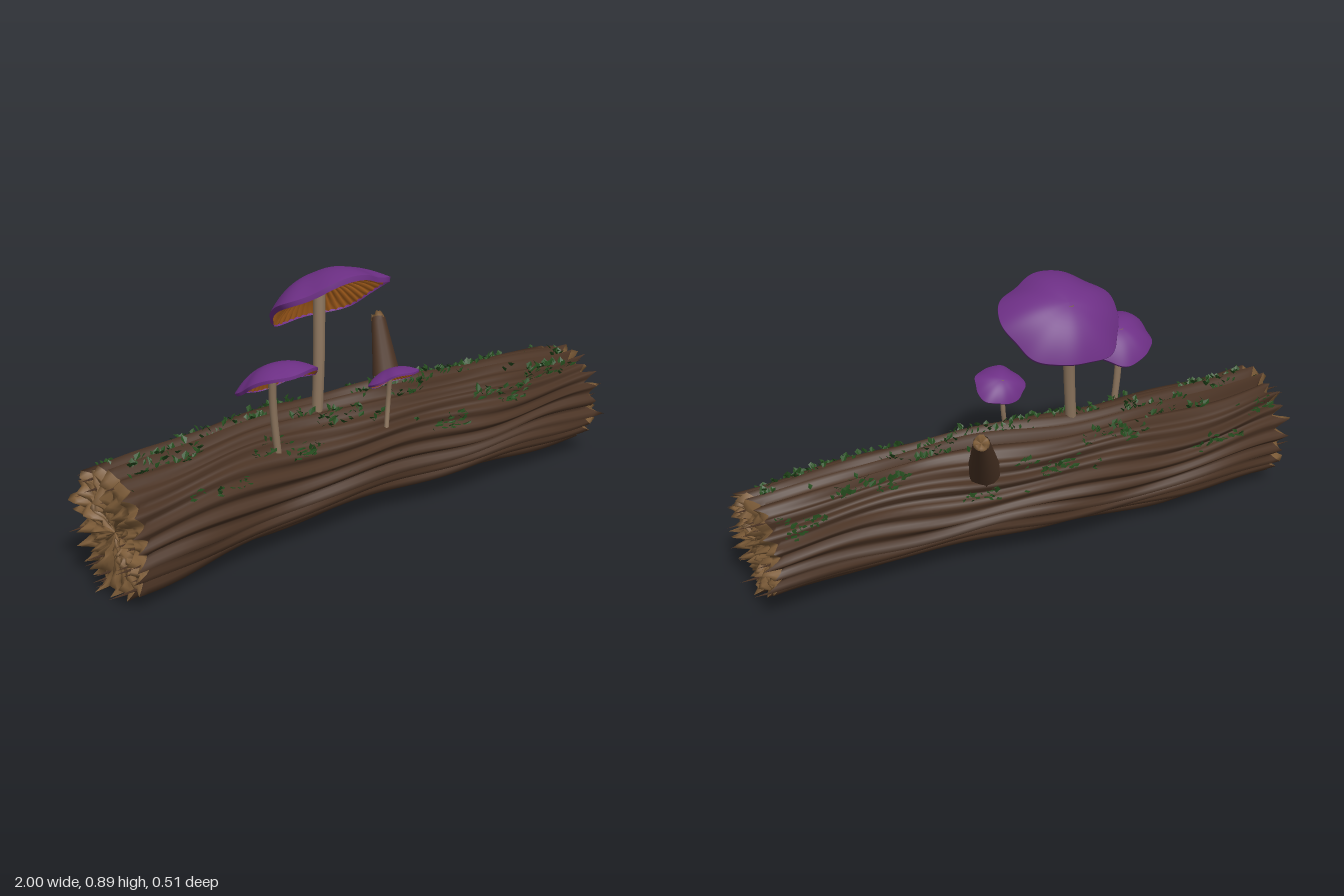
import * as THREE from 'three';
import { mergeGeometries } from 'three/addons/utils/BufferGeometryUtils.js';

const V = (x, y, z) => new THREE.Vector3(x, y, z);
const TAU = Math.PI * 2;
const RIDGES = 22, SEG = RIDGES * 6;
const material = (color, side = THREE.FrontSide) =>
  new THREE.MeshStandardMaterial({ color, roughness: 0.9, side });
const bark = material(0x4a3324, THREE.DoubleSide), wood = material(0x7d5c38, THREE.DoubleSide);
const capSkin = material(0x6d2f85, THREE.DoubleSide), gill = material(0xb0641e, THREE.DoubleSide);
const stalk = material(0x8a735c), mossGreen = material(0x254d1e, THREE.DoubleSide);

// Repeatable noise: a hash of two integers and a seeded sequence
const hash = (a, b = 0) => {
  const s = Math.sin(a * 127.1 + b * 311.7 + 4.3) * 43758.5453;
  return s - Math.floor(s);
};
let seed = 7;
const rand = () => (seed = (seed * 16807) % 2147483647) / 2147483647;

function named(name, geometry, mat) {
  const mesh = new THREE.Mesh(geometry, mat);
  mesh.name = name;
  return mesh;
}

// Surface of rows that each close into a ring
function ringGrid(rows, cols, point, flip = false) {
  const pos = [], index = [];
  for (let i = 0; i <= rows; i++)
    for (let j = 0; j < cols; j++) pos.push(...point(i, j).toArray());
  for (let i = 0; i < rows; i++) {
    for (let j = 0; j < cols; j++) {
      const k = (j + 1) % cols;
      const a = i * cols + j, b = i * cols + k, c = a + cols, d = b + cols;
      if (flip) index.push(a, c, b, b, c, d);
      else index.push(a, b, c, b, d, c);
    }
  }
  const g = new THREE.BufferGeometry();
  g.setAttribute('position', new THREE.Float32BufferAttribute(pos, 3));
  g.setIndex(index);
  g.computeVertexNormals();
  return g;
}

// Bent centre line of the log
const spine = new THREE.CatmullRomCurve3([
  V(-0.93, 0.2, 0.025), V(-0.465, 0.222, -0.01), V(0, 0.24, 0.01), V(0.465, 0.235, 0.065), V(0.93, 0.215, 0.075),
], false, 'catmullrom', 0.5);

// Point on the ridged bark: u runs from -1 to 1, angle from the top towards +z
function barkPoint(u, angle, lift = 0) {
  const c = spine.getPoint((u + 1) / 2);
  const p = angle / TAU * RIDGES + RIDGES, id = Math.floor(p) % RIDGES;
  const tri = 1 - Math.abs(2 * (p - Math.floor(p)) - 1);
  const wander = 0.09 * Math.sin(2.6 * u + angle) + 0.05 * Math.sin(8 * u + 3 * angle);
  const depth = 0.034 * (0.6 + 0.6 * hash(id)) * (0.85 + 0.3 * Math.sin(6 * u + id * 2.4));
  const r = 0.176 - 0.012 * u + (tri - 0.55) * depth + 0.004 * Math.sin(11 * u + 2 * angle) + lift;
  const a = angle + wander;
  const end = Math.abs(u) > 0.999 ? Math.sign(u) * (tri * tri * 0.05 * hash(id, u + 3) - 0.02 * (1 - tri)) : 0;
  return V(c.x + end, c.y + r * Math.cos(a), c.z + r * Math.sin(a));
}

function buildLog() {
  const log = new THREE.Group();
  log.name = 'log';
  const rows = 64;
  log.add(named('bark', ringGrid(rows, SEG, (i, j) => barkPoint(i / rows * 2 - 1, j / SEG * TAU)), bark));
  // Splintered broken ends
  for (const side of [-1, 1]) {
    const centre = spine.getPoint((side + 1) / 2), rings = 10;
    const end = ringGrid(rings, SEG, (k, j) => {
      const p = barkPoint(side, j / SEG * TAU);
      if (k === 0) return p;
      const f = 1 - k / rings, ridge = Math.floor(j / 6), tri = 1 - Math.abs((j % 6) / 3 - 1);
      const q = p.lerp(centre, 1 - f);
      const spike = 0.055 * tri * hash(k * 5 + side, ridge) ** 2 + 0.012 * hash(k, j);
      q.x = centre.x + side * (spike * Math.min(1, f * 2) - 0.008);
      return q;
    }, side < 0);
    log.add(named(side > 0 ? 'leftBrokenEnd' : 'rightBrokenEnd', end, wood));
    // Long thin splinters around the rim
    const splinters = [];
    for (let i = 0; i < 26; i++) {
      const p = barkPoint(side * 0.98, (Math.floor(rand() * RIDGES) + 0.5) / RIDGES * TAU)
        .lerp(centre, 0.06 + 0.5 * rand() ** 2);
      const len = 0.04 + 0.045 * rand();
      const g = new THREE.ConeGeometry(0.007, len, 4);
      g.rotateZ(-side * Math.PI / 2);
      g.translate(side * (0.915 + len / 2), p.y, p.z);
      splinters.push(g);
    }
    log.add(named('splinters', mergeGeometries(splinters), bark));
  }
  return log;
}

// Tube whose radius runs from r0 to r1, with optional lengthwise ridges
function taperedTube(points, r0, r1, ridge = 0, sides = 14) {
  const curve = new THREE.CatmullRomCurve3(points), rows = 16;
  const g = new THREE.TubeGeometry(curve, rows, 1, sides);
  const pos = g.attributes.position, v = V(0, 0, 0);
  for (let i = 0; i < pos.count; i++) {
    const row = Math.floor(i / (sides + 1)), j = (i % (sides + 1)) % sides;
    const c = curve.getPointAt(row / rows);
    const r = THREE.MathUtils.lerp(r0, r1, row / rows) * (1 + ridge * (hash(j, 2) - 0.5));
    v.fromBufferAttribute(pos, i).sub(c).multiplyScalar(r).add(c);
    pos.setXYZ(i, v.x, v.y, v.z);
  }
  g.computeVertexNormals();
  return g;
}

function buildBranch() {
  const branch = new THREE.Group();
  branch.name = 'branchStub';
  const base = V(0.2, 0.31, -0.045), tip = V(0.298, 0.55, -0.226);
  branch.add(named('branchBark', taperedTube([base, base.clone().lerp(tip, 0.5), tip], 0.062, 0.026, 0.2), bark));
  // Jagged broken tip
  const dir = tip.clone().sub(base).normalize();
  const turn = new THREE.Quaternion().setFromUnitVectors(V(0, 1, 0), dir);
  const crown = ringGrid(2, 18, (k, j) => {
    const a = -j / 18 * TAU, r = [0.026, 0.021, 0.0001][k];
    return V(r * Math.cos(a), k === 1 ? 0.026 * hash(j, 8) : -0.004, r * Math.sin(a)).applyQuaternion(turn).add(tip);
  });
  branch.add(named('branchTip', crown, wood));
  return branch;
}

// Mushroom: tilted wavy dome, concave gilled underside, slender stem
function buildMushroom(name, { centre, radius, height, tilt, stem, stemRadius }) {
  const group = new THREE.Group(), cap = new THREE.Group();
  group.name = name;
  cap.name = 'cap';
  const cols = 144, ph = radius * 40;
  const wave = (a) => 1 + 0.03 * Math.sin(5 * a + ph) + 0.025 * Math.sin(3 * a + ph * 2) + 0.012 * Math.sin(9 * a);
  const at = (f, y, a) => {
    const r = radius * f * (1 + (wave(a) - 1) * f);
    return V(r * Math.sin(a), y + radius * 0.035 * f * f * Math.sin(4 * a + ph), r * Math.cos(a) * 0.9);
  };
  const dome = (f) => height * (1 - f ** 2.2);
  const rows = 16;
  const skin = ringGrid(rows + 1, cols, (i, j) => {
    const a = j / cols * TAU;
    if (i > rows) return at(0.965, -0.07 * radius, a);
    const f = Math.max(1e-4, Math.sin(i / rows * Math.PI / 2));
    return at(f, dome(f), a);
  }, true);
  const under = ringGrid(8, cols, (i, j) => {
    const f = Math.max(1e-4, 0.965 * i / 8);
    const blade = (j % 3 === 0 ? -1 : 0.4) * 0.045 * radius * Math.sin(Math.PI * Math.min(1, f)) ** 0.5;
    return at(f, dome(f) * 0.9 - 0.07 * radius + blade, j / cols * TAU);
  });
  cap.add(named('capTop', skin, capSkin), named('gills', under, gill));
  cap.position.copy(centre);
  cap.rotation.x = tilt;
  const top = V(0, height * 0.92, 0).applyEuler(cap.rotation).add(centre);
  group.add(cap, named('stem', taperedTube([...stem, top], stemRadius * 0.95, stemRadius * 1.05, 0.15), stalk));
  return group;
}

// Moss: clumps of small folded leaves over the upper bark
function buildMoss() {
  const pos = [];
  for (let n = 0; n < 3600; n++) {
    const u = rand() * 1.94 - 0.97, a = (rand() * 2 - 1) * 1.25;
    const patch = Math.sin(7 * u + 5 * a) + Math.sin(13 * u - 8 * a + 1) + 0.7 * Math.sin(29 * u + 11 * a);
    if (patch < 0.55 + 0.5 * Math.abs(a)) continue;
    const root = barkPoint(u, a, -0.003);
    const out = V(0, Math.cos(a), Math.sin(a));
    const yaw = rand() * TAU, along = V(Math.cos(yaw), 0, Math.sin(yaw));
    const dir = out.clone().multiplyScalar(0.55 + 0.5 * rand()).addScaledVector(along, 0.6).normalize();
    const across = V(-along.z, 0, along.x), size = 0.02 + 0.014 * rand();
    const tip = root.clone().addScaledVector(dir, size);
    const mid = root.clone().addScaledVector(dir, size * 0.45);
    const fold = out.clone().multiplyScalar(size * 0.15);
    const l = mid.clone().addScaledVector(across, size * 0.36).add(fold);
    const r = mid.clone().addScaledVector(across, -size * 0.36).add(fold);
    for (const p of [root, l, tip, root, tip, r]) pos.push(p.x, p.y, p.z);
  }
  const g = new THREE.BufferGeometry();
  g.setAttribute('position', new THREE.Float32BufferAttribute(pos, 3));
  g.computeVertexNormals();
  return named('moss', g, mossGreen);
}

export function createModel() {
  seed = 7;
  const model = new THREE.Group();
  model.name = 'mossyLog';
  model.add(buildLog(), buildBranch(), buildMoss());
  model.add(buildMushroom('largeMushroom', {
    centre: V(-0.13, 0.77, 0.035), radius: 0.207, height: 0.088, tilt: -0.57,
    stem: [V(-0.165, 0.38, 0.02), V(-0.15, 0.58, 0.013)], stemRadius: 0.019,
  }));
  model.add(buildMushroom('mediumMushroom', {
    centre: V(-0.415, 0.592, 0.148), radius: 0.133, height: 0.056, tilt: -0.47,
    stem: [V(-0.39, 0.32, 0.115), V(-0.405, 0.48, 0.114)], stemRadius: 0.012,
  }));
  model.add(buildMushroom('smallMushroom', {
    centre: V(0.025, 0.503, 0.175), radius: 0.088, height: 0.036, tilt: -0.52,
    stem: [V(0.008, 0.31, 0.16), V(0.027, 0.42, 0.147)], stemRadius: 0.008,
  }));
  return model;
}
